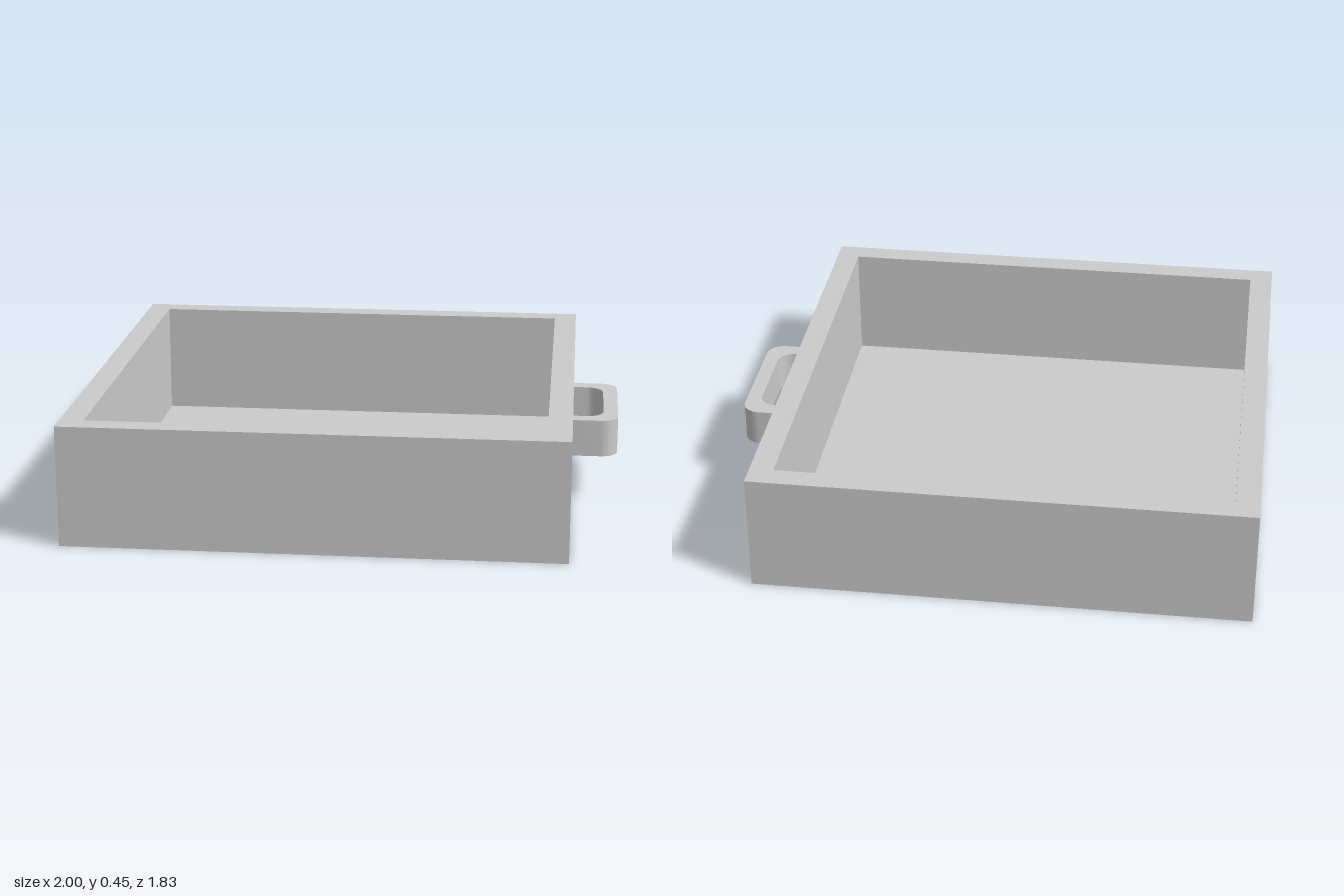
import * as THREE from 'three';
import { toCreasedNormals } from 'three/addons/utils/BufferGeometryUtils.js';

const material = new THREE.MeshStandardMaterial({ color: 0xcccccc });

// Rectangle outline; corners on the +x side are rounded by r
function outline(path, x0, x1, z0, z1, r = 0) {
  path.moveTo(x0, z0);
  path.lineTo(x1 - r, z0);
  if (r) path.absarc(x1 - r, z0 + r, r, -Math.PI / 2, 0, false);
  else path.lineTo(x1, z0);
  path.lineTo(x1, z1 - r);
  if (r) path.absarc(x1 - r, z1 - r, r, 0, Math.PI / 2, false);
  else path.lineTo(x1, z1);
  path.lineTo(x0, z1);
  path.closePath();
  return path;
}

// Extrude a plan-view shape upwards from y0 to y1
function slab(name, shape, y0, y1) {
  const geometry = new THREE.ExtrudeGeometry(shape, {
    depth: y1 - y0, bevelEnabled: false, curveSegments: 12,
  });
  geometry.rotateX(-Math.PI / 2).translate(0, y0, 0);
  const mesh = new THREE.Mesh(toCreasedNormals(geometry, Math.PI / 6), material);
  mesh.name = name;
  return mesh;
}

export function createModel() {
  const drawer = new THREE.Group();
  drawer.name = 'drawer';

  // Four walls around an open tray
  const walls = outline(new THREE.Shape(), -1, 0.83, -0.915, 0.915);
  walls.holes.push(outline(new THREE.Path(), -0.912, 0.742, -0.83, 0.83));
  drawer.add(slab('walls', walls, 0, 0.45));

  // Thin floor panel inside the walls
  const floor = outline(new THREE.Shape(), -0.912, 0.742, -0.83, 0.83);
  drawer.add(slab('floor', floor, 0, 0.016));

  // U-shaped pull handle: rounded outer path, then the inner path back
  const x = 0.83, r = 0.065;
  const handle = new THREE.Shape();
  handle.moveTo(x, -0.257);
  handle.lineTo(1 - r, -0.257);
  handle.absarc(1 - r, -0.257 + r, r, -Math.PI / 2, 0, false);
  handle.lineTo(1, 0.257 - r);
  handle.absarc(1 - r, 0.257 - r, r, 0, Math.PI / 2, false);
  handle.lineTo(x, 0.257);
  handle.lineTo(x, 0.198);
  handle.lineTo(0.945 - r, 0.198);
  handle.absarc(0.945 - r, 0.198 - r, r, Math.PI / 2, 0, true);
  handle.lineTo(0.945, -0.198 + r);
  handle.absarc(0.945 - r, -0.198 + r, r, 0, -Math.PI / 2, true);
  handle.lineTo(x, -0.198);
  handle.closePath();
  const pull = slab('handle', handle, 0.19, 0.33);
  pull.position.z = -0.005;
  drawer.add(pull);

  return drawer;
}
